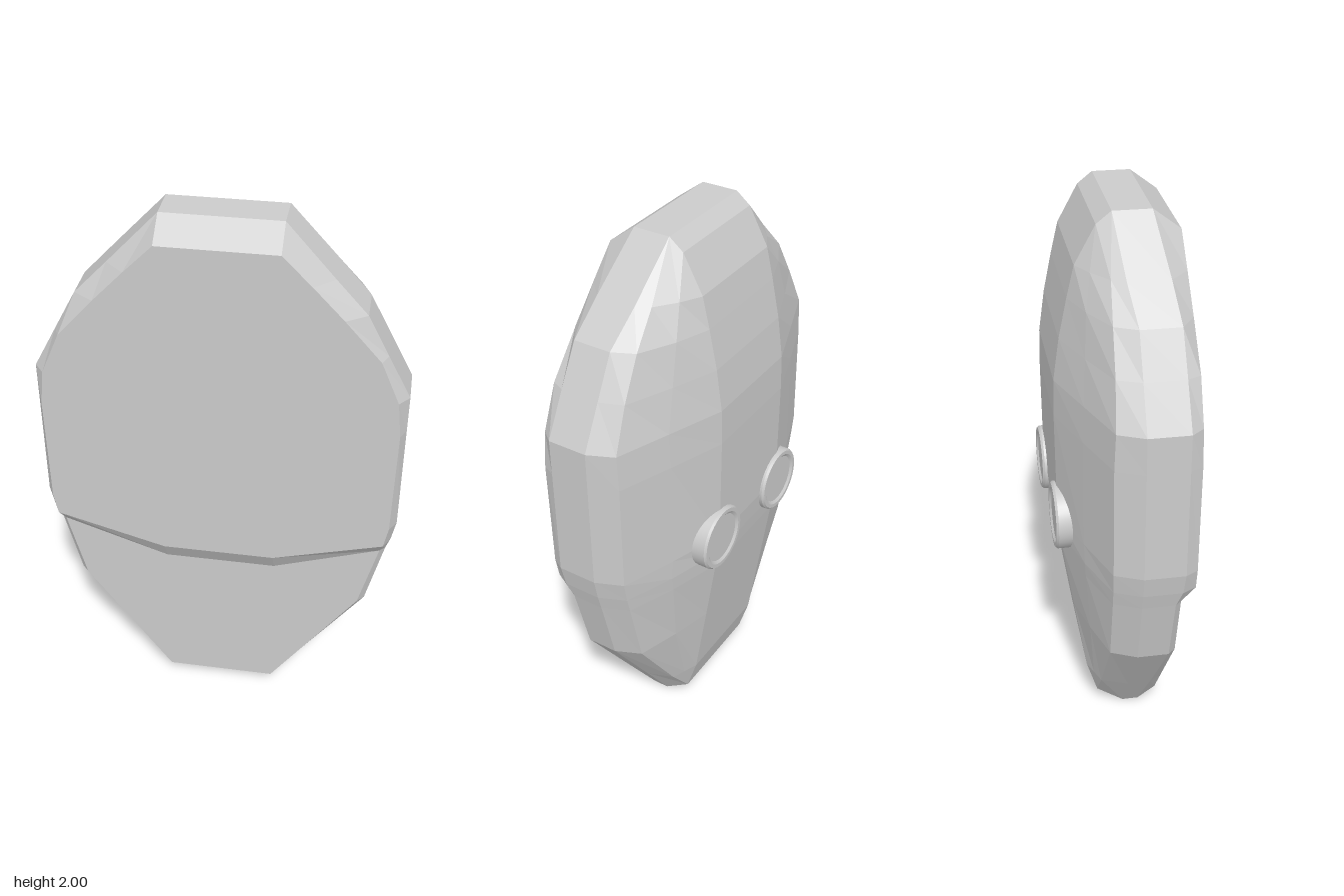
import * as THREE from 'three';
import { toCreasedNormals } from 'three/addons/utils/BufferGeometryUtils.js';

const grey = (opts = {}) => new THREE.MeshStandardMaterial({ color: 0xcccccc, ...opts });

const FRONT = 0.213, LOWER = 0.167, INNER = 0.2;

// Half a cross-section, running from the front plane round the rim to the back:
// b = front edge x, rim = widest x, e = back crease, f = middle of back slope, g = back z
const section = (y, zf, b, rim, zc, zd, e, f, g, yA = y) => [
  [INNER, yA, zf], [b, y, zf], [rim, y, zc], [rim, y, zd],
  [e[0], y, e[1]], [f[0], y, f[1]], [INNER, y, g],
];

// Sections from top to bottom; the ends wrap over in the middle strip
function bodySections() {
  return [
    [[INNER, 1.93, FRONT], [INNER, 1.93, FRONT], [INNER, 2, 0.12], [INNER, 2, -0.01],
      [INNER, 2, -0.01], [INNER, 1.96, -0.06], [INNER, 1.96, -0.06]],
    section(1.83, FRONT, 0.3, 0.367, 0.15, 0.01, [0.34, -0.035], [0.27, -0.09], -0.13),
    section(1.72, FRONT, 0.405, 0.475, 0.165, 0.03, [0.44, -0.045], [0.32, -0.11], -0.155),
    section(1.58, FRONT, 0.53, 0.55, 0.168, 0.03, [0.52, -0.05], [0.36, -0.12], -0.183),
    section(1.43, FRONT, 0.595, 0.63, 0.17, 0.03, [0.59, -0.06], [0.4, -0.13], -0.203),
    section(1.3, FRONT, 0.61, 0.63, 0.17, 0.03, [0.59, -0.065], [0.4, -0.135], -0.205),
    section(0.9, FRONT, 0.605, 0.63, 0.17, 0.03, [0.59, -0.065], [0.4, -0.135], -0.2),
    // slanted step across the front
    section(0.82, FRONT, 0.59, 0.615, 0.165, 0.03, [0.575, -0.063], [0.4, -0.132], -0.192, 0.71),
    section(0.76, LOWER, 0.58, 0.6, 0.145, 0.03, [0.56, -0.062], [0.39, -0.128], -0.185, 0.63),
    section(0.5, LOWER, 0.515, 0.54, 0.14, 0.03, [0.5, -0.06], [0.35, -0.108], -0.146),
    section(0.2, LOWER, 0.305, 0.336, 0.12, 0.035, [0.3, -0.06], [0.25, -0.08], -0.1),
    [[INNER, 0.05, LOWER], [INNER, 0.05, LOWER], [INNER, 0, 0.1], [INNER, 0, 0.04],
      [INNER, 0.07, -0.06], [INNER, 0.07, -0.06], [INNER, 0.07, -0.06]],
  ];
}

// Skin the mirrored sections into one closed faceted shell
function createBody() {
  const rings = bodySections().map((half) => [
    ...half, ...half.slice().reverse().map(([x, y, z]) => [-x, y, z]),
  ]);
  const positions = [];
  const same = (p, q) => p.every((v, i) => Math.abs(v - q[i]) < 1e-6);
  const tri = (p, q, r) => {
    if (!same(p, q) && !same(q, r) && !same(p, r)) positions.push(...p, ...q, ...r);
  };
  const quad = (p, q, r, s) => { tri(p, q, r); tri(p, r, s); };

  const n = rings[0].length;
  for (let i = 0; i < rings.length - 1; i++) {
    for (let j = 0; j < n; j++) {
      const k = (j + 1) % n;
      quad(rings[i][j], rings[i + 1][j], rings[i + 1][k], rings[i][k]);
    }
  }
  // End strips joining the left and right halves
  const top = rings[0], bottom = rings[rings.length - 1];
  for (let j = 0; j < n / 2 - 1; j++) {
    const m = n - 1 - j;
    quad(top[j], top[j + 1], top[m - 1], top[m]);
    quad(bottom[m], bottom[m - 1], bottom[j + 1], bottom[j]);
  }
  const geometry = new THREE.BufferGeometry();
  geometry.setAttribute('position', new THREE.Float32BufferAttribute(positions, 3));
  geometry.computeVertexNormals();
  const body = new THREE.Mesh(geometry, grey({ flatShading: true }));
  body.name = 'shell';
  return body;
}

// Round stud with a bevelled lip and shallow dished face, pointing backwards
function createStud(side) {
  const profile = [
    [0.12, 0], [0.12, 0.055], [0.114, 0.063], [0.1, 0.063], [0.09, 0.056], [0, 0.056],
  ].map(([r, h]) => new THREE.Vector2(r, h));
  const geometry = toCreasedNormals(new THREE.LatheGeometry(profile, 32), 0.5);
  geometry.rotateX(-Math.PI / 2);
  const stud = new THREE.Mesh(geometry, grey());
  stud.position.set(side * 0.2, 0.9, -0.154);
  stud.name = side > 0 ? 'leftStud' : 'rightStud';
  return stud;
}

export function createModel() {
  const model = new THREE.Group();
  model.name = 'facetedShield';
  model.add(createBody());
  for (const side of [1, -1]) model.add(createStud(side));
  return model;
}
